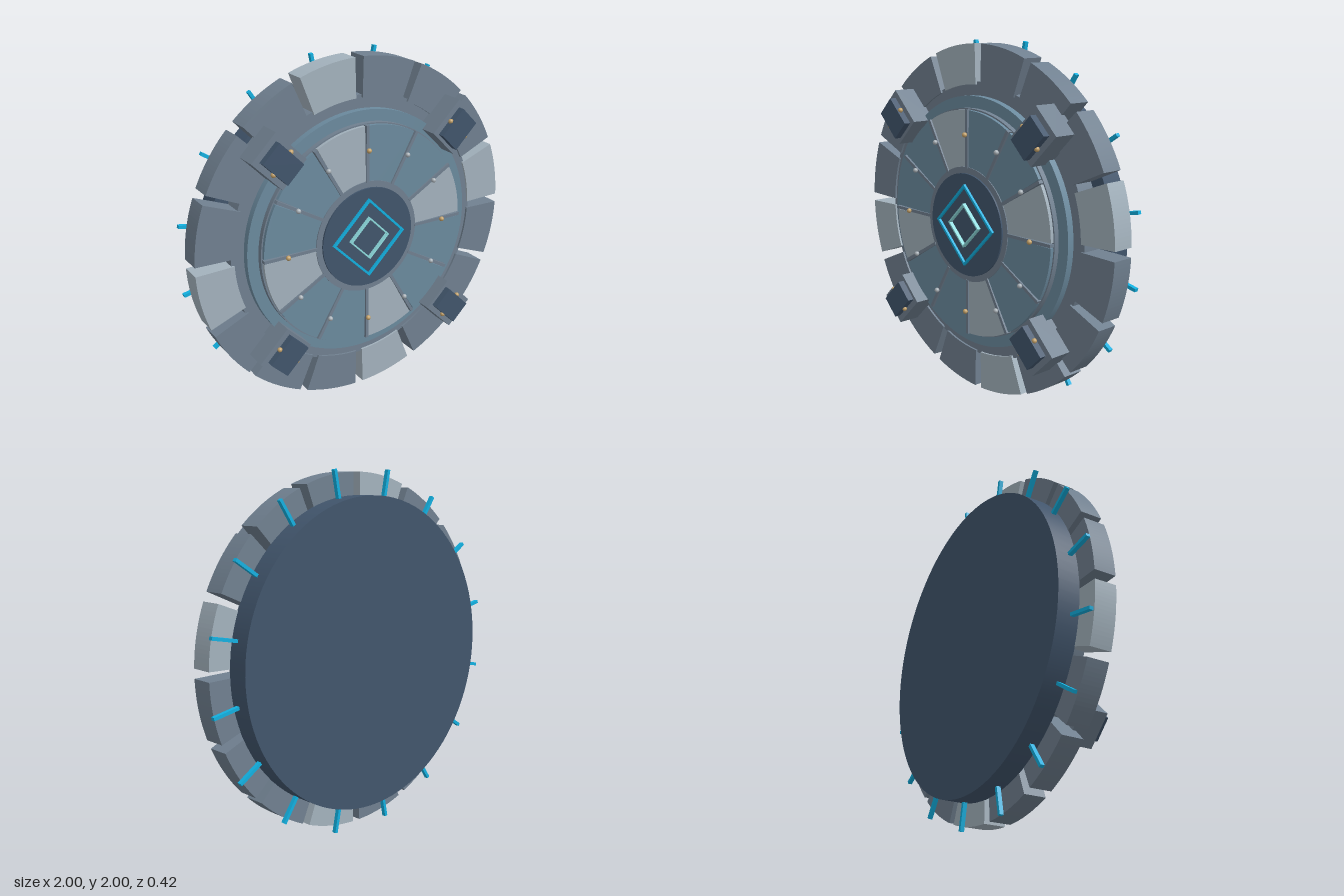
import * as THREE from 'three';

const mat = (color) => new THREE.MeshStandardMaterial({ color });
const rad = THREE.MathUtils.degToRad;

export function createModel() {
  const slate = mat(0x708090), pale = mat(0xa3b2bd), steel = mat(0x6b8a9e), dark = mat(0x41556c);
  const cyan = mat(0x12b0e0), aqua = mat(0x8fdde0), brass = mat(0xc2a068), silver = mat(0xa8b0b6);
  const model = new THREE.Group();
  const gate = new THREE.Group();
  gate.name = 'roundGate';
  gate.position.y = 1;
  model.add(gate);

  function add(name, geometry, material, parent = gate) {
    const mesh = new THREE.Mesh(geometry, material);
    mesh.name = name;
    parent.add(mesh);
    return mesh;
  }

  // solid disc facing +z between two depths
  function disc(name, r, z0, z1, material) {
    const g = new THREE.CylinderGeometry(r, r, z1 - z0, 96);
    g.rotateX(Math.PI / 2).translate(0, 0, (z0 + z1) / 2);
    return add(name, g, material);
  }

  // ring sector centred on +x, with radial sides
  function sector(r0, r1, half, z0, z1) {
    const s = new THREE.Shape();
    s.absarc(0, 0, r1, -half, half, false);
    s.absarc(0, 0, r0, half, -half, true);
    s.closePath();
    const g = new THREE.ExtrudeGeometry(s, { depth: z1 - z0, bevelEnabled: false, curveSegments: 8 });
    return g.translate(0, 0, z0);
  }

  // square frame standing on its corner
  function diamond(name, size, stroke, z0, z1, material) {
    const outline = (d) => [[d, 0], [0, d], [-d, 0], [0, -d]].map(([x, y]) => new THREE.Vector2(x, y));
    const s = new THREE.Shape(outline(size));
    s.holes.push(new THREE.Path(outline(size - stroke)));
    const g = new THREE.ExtrudeGeometry(s, { depth: z1 - z0, bevelEnabled: false });
    add(name, g.translate(0, 0, z0), material);
  }

  // stacked discs, back to front
  disc('backDisc', 0.865, -0.21, -0.083, dark);
  disc('bodyRing', 0.785, -0.085, 0.03, slate);
  disc('innerRing', 0.71, 0.03, 0.07, steel);
  disc('panelBed', 0.645, 0.07, 0.1, slate);
  disc('hubRim', 0.325, 0.1, 0.125, slate);
  disc('hub', 0.29, 0.125, 0.135, dark);
  diamond('outerDiamond', 0.232, 0.018, 0.135, 0.15, cyan);
  diamond('innerDiamond', 0.125, 0.012, 0.135, 0.157, aqua);

  // outer blocks with a glowing pin behind each
  const block = sector(0.77, 0.99, rad(9.75), -0.085, 0.042);
  const pin = new THREE.BoxGeometry(0.18, 0.018, 0.024).translate(0.93, 0, -0.123);
  for (let i = 0; i < 16; i++) {
    const a = rad(11.25 + 22.5 * i);
    add('outerBlock', block, i % 4 ? slate : pale).rotation.z = a;
    add('glowPin', pin, cyan).rotation.z = a;
  }

  // face panels, spokes and studs
  const panel = sector(0.325, 0.637, rad(13.7), 0.1, 0.12);
  const spoke = new THREE.BoxGeometry(0.32, 0.018, 0.028).translate(0.48, 0, 0.114);
  const stud = new THREE.SphereGeometry(0.014, 16, 12);
  for (let i = 0; i < 12; i++) {
    const a = rad(30 * i);
    add('facePanel', panel, i % 3 ? steel : pale).rotation.z = a + rad(15);
    add('spoke', spoke, slate).rotation.z = a;
    add('stud', stud, i % 3 ? silver : brass).position.set(0.504 * Math.cos(a), 0.504 * Math.sin(a), 0.14);
  }

  // four diagonal clamps
  for (let i = 0; i < 4; i++) {
    const clamp = new THREE.Group();
    clamp.name = 'clamp';
    clamp.rotation.z = rad(45 + 90 * i);
    gate.add(clamp);
    add('clampBase', new THREE.BoxGeometry(0.24, 0.2, 0.15), slate, clamp).position.set(0.785, 0, 0.098);
    add('clampCap', new THREE.BoxGeometry(0.19, 0.135, 0.045), dark, clamp).position.set(0.778, 0, 0.19);
    for (const side of [-1, 1])
      add('clampBolt', stud, brass, clamp).position.set(0.778, side * 0.072, 0.193);
  }
  return model;
}
